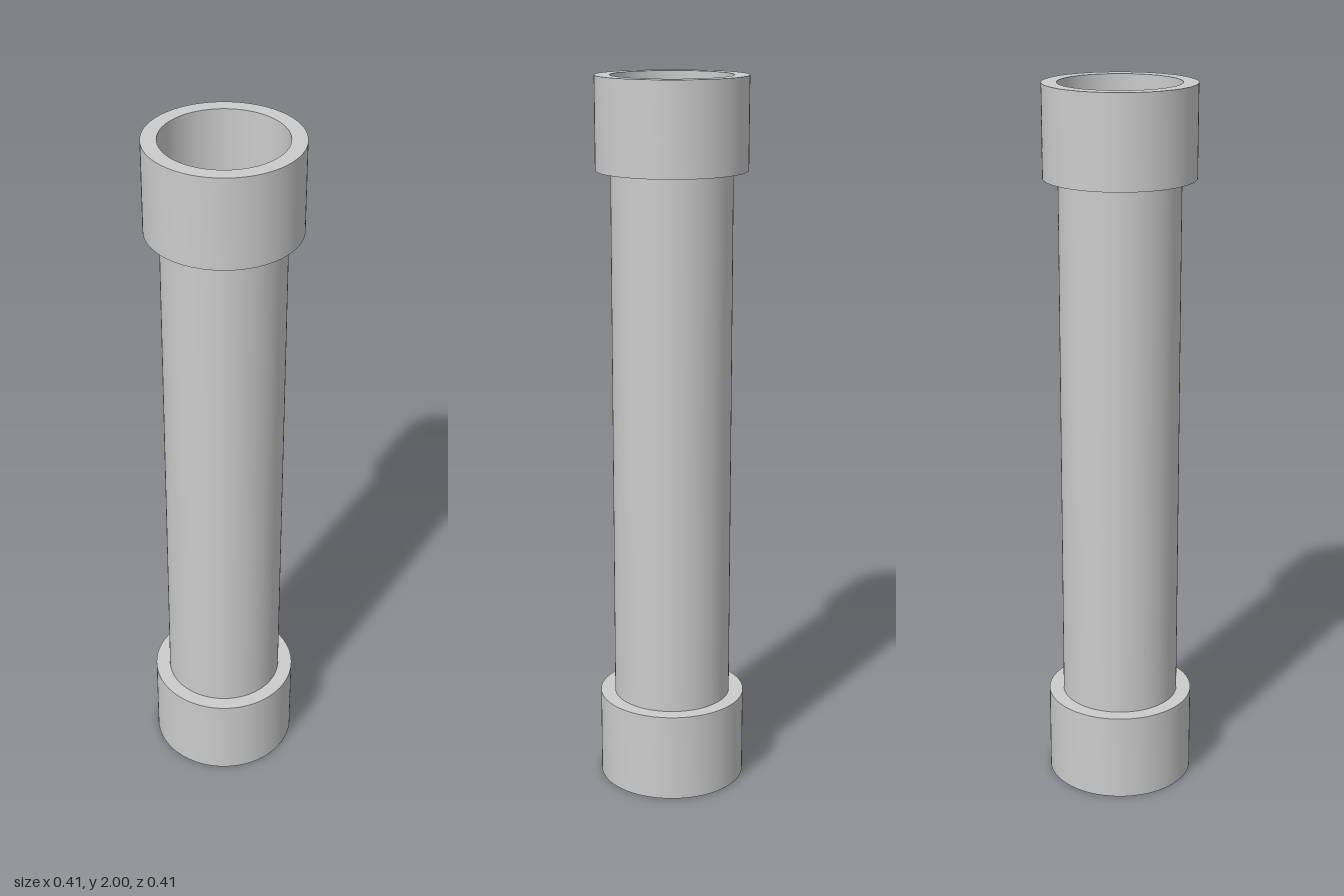
import * as THREE from 'three';
import { toCreasedNormals } from 'three/addons/utils/BufferGeometryUtils.js';

const SIDES = 96;
const HEIGHT = 2;
const BORE = 0.165;
const COLLAR_RADIUS = 0.206;
const COLLAR_HEIGHT = 0.25;

export function createModel() {
  const group = new THREE.Group();
  group.name = 'collaredPipe';

  // Thin-walled pipe, open at both ends
  const pipe = new THREE.Mesh(
    new THREE.CylinderGeometry(BORE, BORE, HEIGHT, SIDES, 1, true),
    new THREE.MeshStandardMaterial({ color: 0xcccccc, side: THREE.DoubleSide })
  );
  pipe.name = 'pipe';
  pipe.position.y = HEIGHT / 2;
  group.add(pipe);

  // Collar: lower rim, outer wall and upper rim around the pipe
  const profile = [
    [BORE, 0],
    [COLLAR_RADIUS, 0],
    [COLLAR_RADIUS, COLLAR_HEIGHT],
    [BORE, COLLAR_HEIGHT],
  ].map(([r, y]) => new THREE.Vector2(r, y));
  const collarGeometry = toCreasedNormals(new THREE.LatheGeometry(profile, SIDES), Math.PI / 6);
  const collarMaterial = new THREE.MeshStandardMaterial({ color: 0xcccccc });

  for (const [name, y] of [['bottomCollar', 0], ['topCollar', HEIGHT - COLLAR_HEIGHT]]) {
    const collar = new THREE.Mesh(collarGeometry, collarMaterial);
    collar.name = name;
    collar.position.y = y;
    group.add(collar);
  }

  return group;
}
